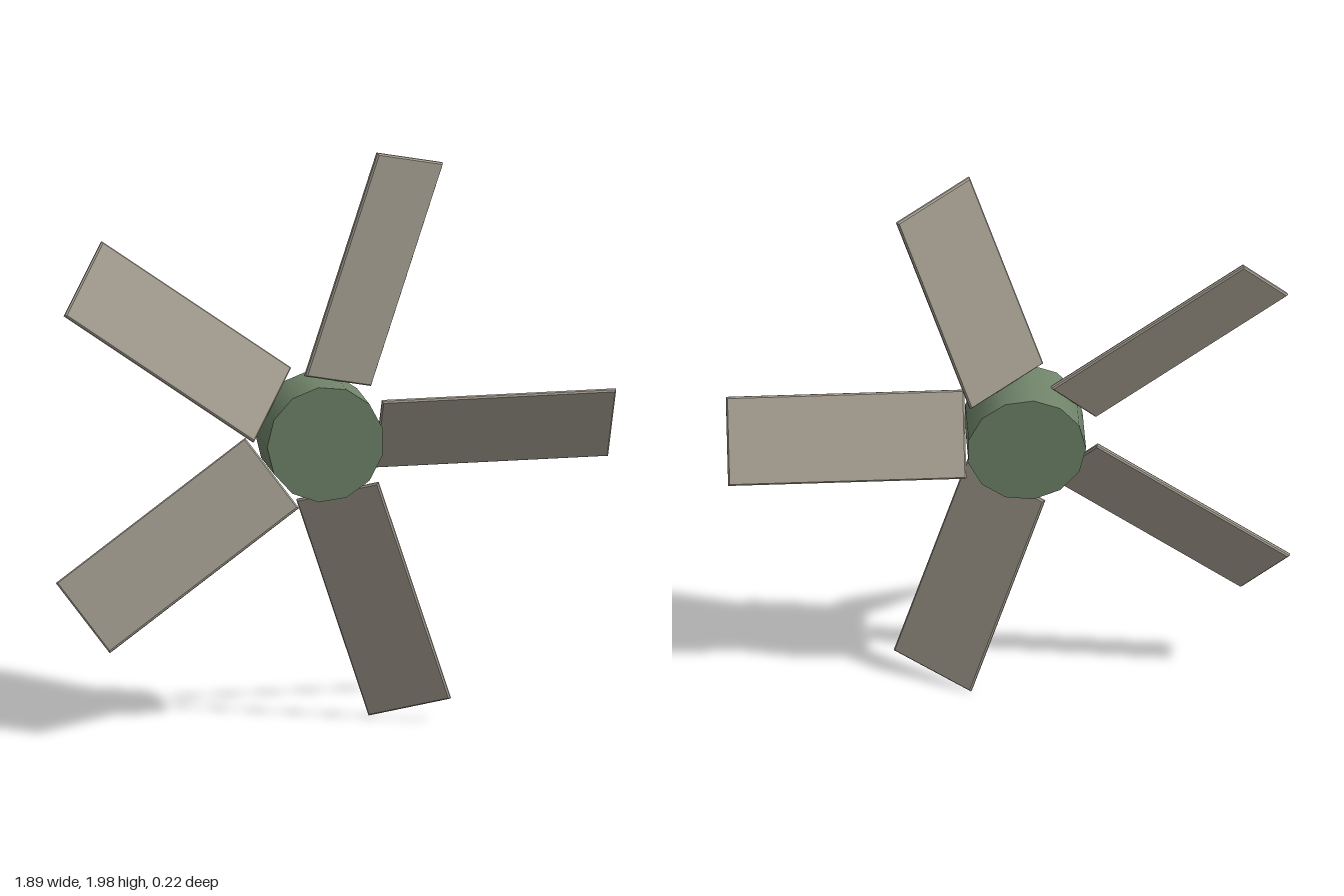
import * as THREE from 'three';

const BLADES = 5, HUB_SIDES = 13;
const HUB_RADIUS = 0.2, HUB_DEPTH = 0.216;
const LENGTH = 0.8, CHORD = 0.3, THICK = 0.017, BEVEL = 0.005, PITCH = 28 * Math.PI / 180;

// Thin rectangular blade with a small chamfer, running outwards along +x
function bladeGeometry() {
  const x0 = HUB_RADIUS + BEVEL, x1 = HUB_RADIUS + LENGTH - BEVEL, h = CHORD / 2 - BEVEL;
  const outline = new THREE.Shape([
    new THREE.Vector2(x0, -h), new THREE.Vector2(x1, -h),
    new THREE.Vector2(x1, h), new THREE.Vector2(x0, h),
  ]);
  const depth = THICK - 2 * BEVEL;
  const geometry = new THREE.ExtrudeGeometry(outline, {
    depth, bevelEnabled: true, bevelSize: BEVEL, bevelThickness: BEVEL, bevelSegments: 1,
  });
  return geometry.translate(0, 0, -depth / 2).rotateX(PITCH);
}

export function createModel() {
  const hubGreen = new THREE.MeshStandardMaterial({ color: 0x70846a });
  hubGreen.name = 'hubGreen';
  const bladeGrey = new THREE.MeshStandardMaterial({ color: 0xa8a194 });
  bladeGrey.name = 'bladeGrey';

  const model = new THREE.Group();
  model.name = 'fan';
  const rotor = new THREE.Group();
  rotor.name = 'rotor';
  rotor.position.set(-0.055, 1, 0);
  model.add(rotor);

  // Hub: short drum along z with a corner pointing to -x
  const drum = new THREE.CylinderGeometry(HUB_RADIUS, HUB_RADIUS, HUB_DEPTH, HUB_SIDES);
  drum.rotateX(Math.PI / 2).rotateZ(-Math.PI / 2);
  const hub = new THREE.Mesh(drum, hubGreen);
  hub.name = 'hub';
  rotor.add(hub);

  // Pitched blades evenly spaced around the hub
  const geometry = bladeGeometry();
  for (let i = 0; i < BLADES; i++) {
    const blade = new THREE.Mesh(geometry, bladeGrey);
    blade.name = `blade${i + 1}`;
    blade.rotation.z = (i / BLADES) * Math.PI * 2;
    rotor.add(blade);
  }
  return model;
}
